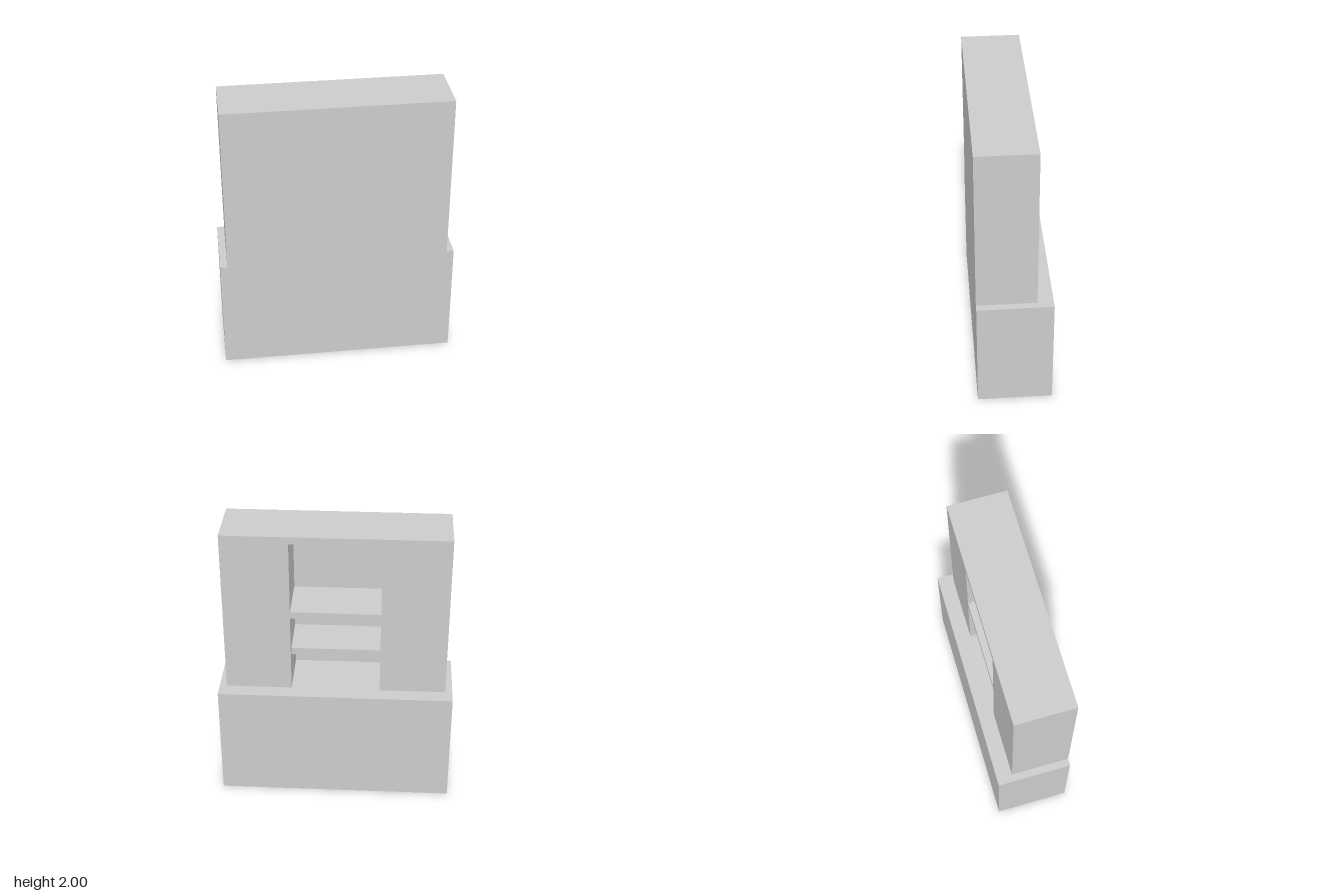
import * as THREE from 'three';

const BASE = { w: 1.64, h: 0.82, d: 0.52 };
const TOP = { w: 1.54, y: 2, back: -0.15, front: 0.26 };
const NICHE = { half: 0.31, top: 1.95, depth: 0.36 };

export function createModel() {
  const group = new THREE.Group();
  const material = new THREE.MeshStandardMaterial({ color: 0xcccccc, flatShading: true });

  // Adds a box given by its lower and upper corners
  const addBox = (name, [x0, y0, z0], [x1, y1, z1]) => {
    const geometry = new THREE.BoxGeometry(x1 - x0, y1 - y0, z1 - z0);
    geometry.translate((x0 + x1) / 2, (y0 + y1) / 2, (z0 + z1) / 2);
    const mesh = new THREE.Mesh(geometry, material);
    mesh.name = name;
    group.add(mesh);
  };

  // Wide lower cabinet
  addBox('baseCabinet', [-BASE.w / 2, 0, -BASE.d / 2], [BASE.w / 2, BASE.h, BASE.d / 2]);

  // Upper cabinet: two side blocks joined by a thin top, cut as one arch
  const w = TOP.w / 2;
  const n = NICHE.half;
  const arch = new THREE.Shape([
    [-w, BASE.h], [-n, BASE.h], [-n, NICHE.top], [n, NICHE.top],
    [n, BASE.h], [w, BASE.h], [w, TOP.y], [-w, TOP.y],
  ].map(([x, y]) => new THREE.Vector2(x, y)));
  const upper = new THREE.Mesh(
    new THREE.ExtrudeGeometry(arch, { depth: NICHE.depth, bevelEnabled: false }),
    material,
  );
  upper.name = 'upperCabinet';
  upper.position.z = TOP.back;
  group.add(upper);

  // Panel closing the niche on the flush front side
  const inner = TOP.back + NICHE.depth;
  addBox('closingPanel', [-w, BASE.h, inner], [w, TOP.y, TOP.front]);

  // Niche shelves: the upper one flush, the lower one set back
  addBox('upperShelf', [-n, 1.385, TOP.back], [n, 1.435, inner]);
  addBox('lowerShelf', [-n, 1.075, TOP.back + 0.04], [n, 1.125, inner]);

  return group;
}
